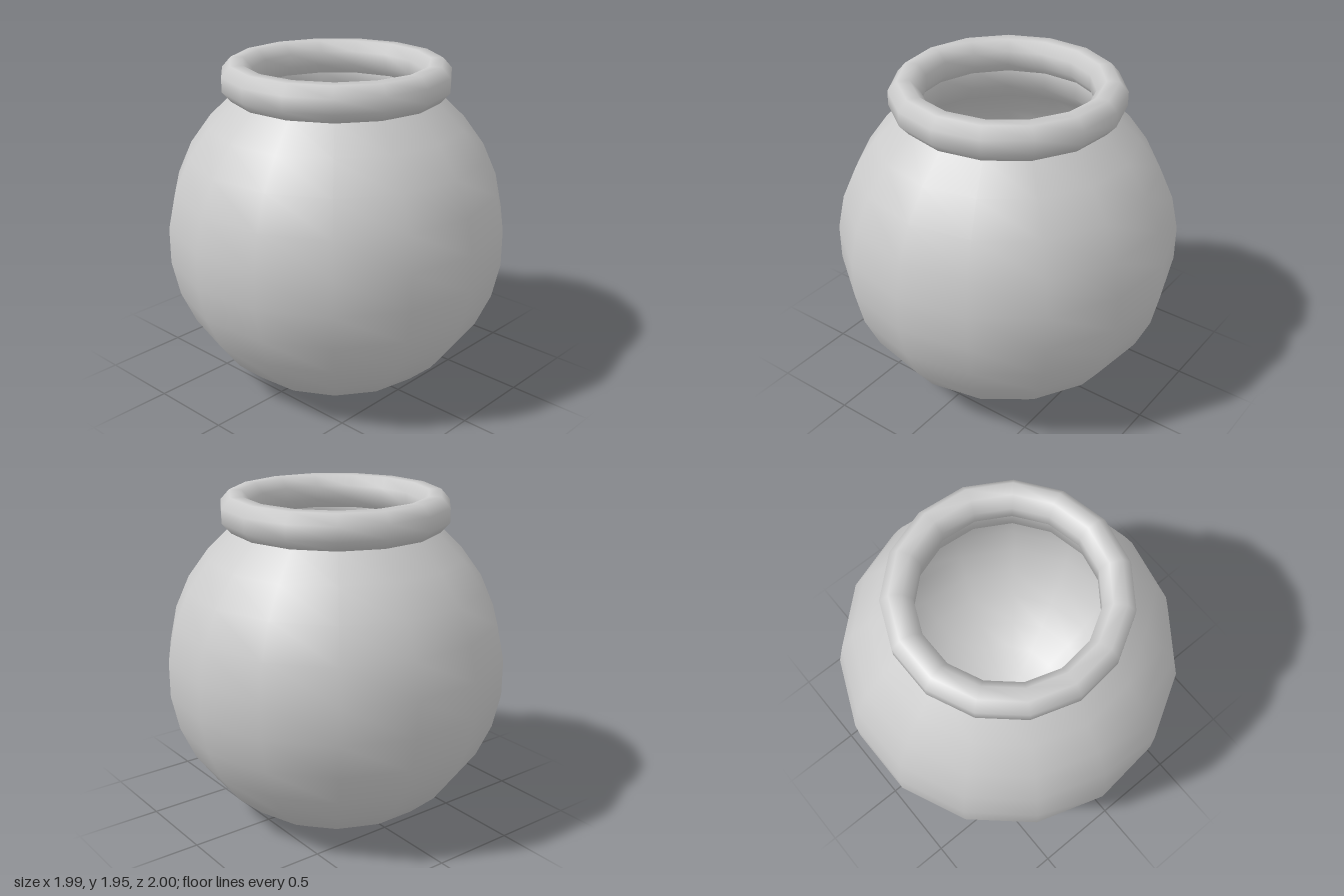
import * as THREE from 'three';

const SIDES = 15;
const CENTRE_Y = 0.925;
const SHIFT_X = -0.011; // an odd number of sides is off-centre by this much

const material = new THREE.MeshStandardMaterial({ color: 0xcccccc });

// Turned surface whose first corner lies on +x
function turned(name, points) {
  const profile = points.map(([r, y]) => new THREE.Vector2(r, y));
  const mesh = new THREE.Mesh(new THREE.LatheGeometry(profile, SIDES, Math.PI / 2), material);
  mesh.name = name;
  return mesh;
}

// Points on a circular arc between two latitudes, in degrees
function arc(radius, from, to, steps) {
  return Array.from({ length: steps + 1 }, (_, i) => {
    const a = THREE.MathUtils.degToRad(from + ((to - from) * i) / steps);
    return [Math.max(0, radius * Math.cos(a)), CENTRE_Y + radius * Math.sin(a)];
  });
}

export function createModel() {
  const group = new THREE.Group();
  group.name = 'pot';

  // Round outer wall, cut flat at the bottom
  const outer = arc(1.011, -66, 54, 10);
  outer[0][1] = 0;
  outer[outer.length - 1][1] = 1.755;
  group.add(turned('outerWall', outer));

  // Round hollow, from the mouth down to the floor
  group.add(turned('innerWall', [[0.55, 1.76], ...arc(0.9, 54, -90, 12)]));

  // Flat underside
  const base = new THREE.Mesh(new THREE.CircleGeometry(outer[0][0], SIDES), material);
  base.geometry.rotateX(Math.PI / 2);
  base.name = 'base';
  group.add(base);

  // Thick eight-sided rolled rim
  const rim = Array.from({ length: 9 }, (_, i) => {
    const a = ((i - 2.5) * Math.PI) / 4;
    const k = 1 / Math.cos(Math.PI / 8);
    return [0.579 + 0.088 * k * Math.cos(a), 1.851 + 0.1 * k * Math.sin(a)];
  });
  group.add(turned('rim', rim));

  group.children.forEach((part) => { part.position.x = SHIFT_X; });
  return group;
}
